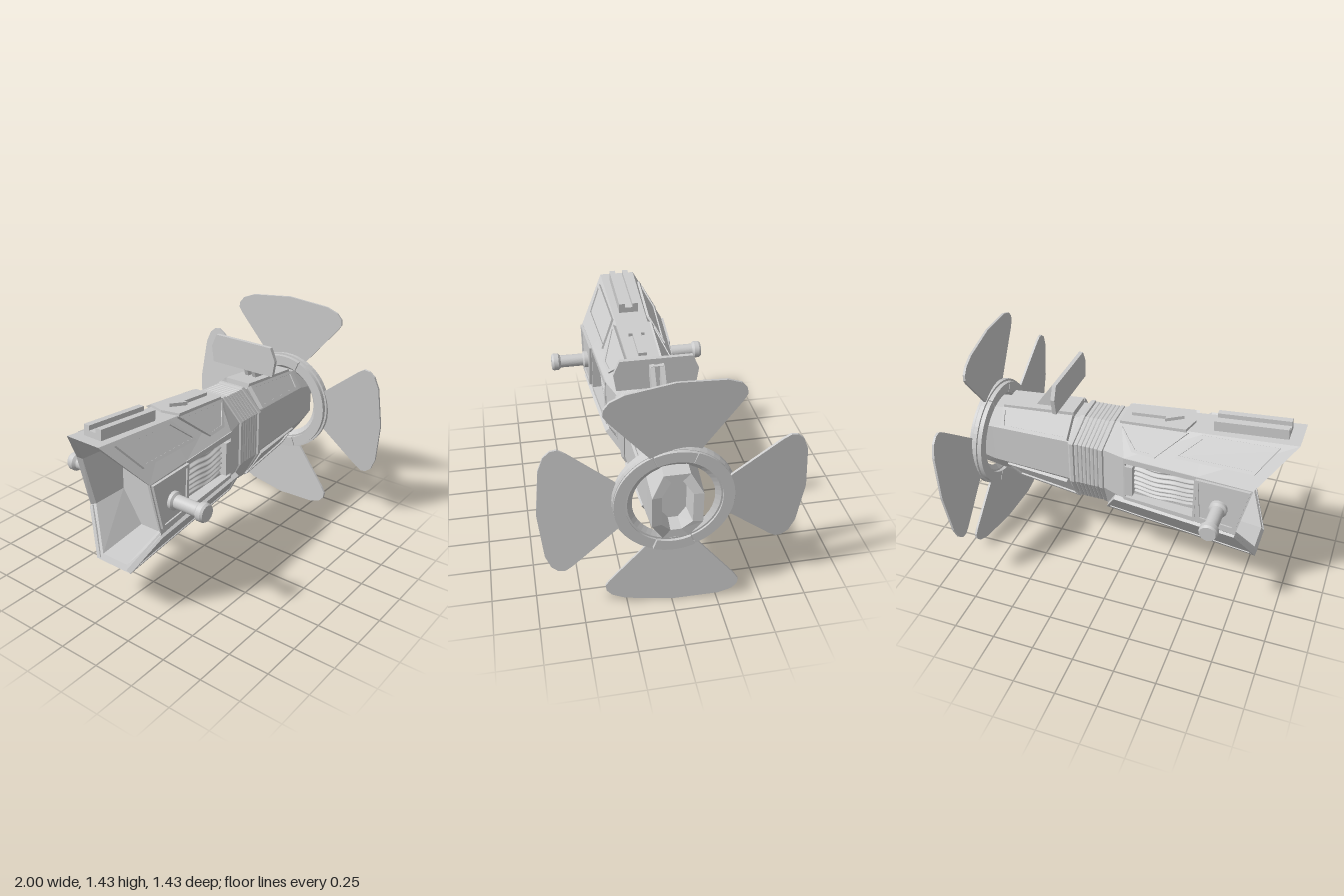
import * as THREE from 'three';

const V = (x, y, z) => new THREE.Vector3(x, y, z);
const grey = new THREE.MeshStandardMaterial({ color: 0xcccccc, flatShading: true });
const greyThin = new THREE.MeshStandardMaterial({ color: 0xcccccc, side: THREE.DoubleSide });
const greySmooth = new THREE.MeshStandardMaterial({ color: 0xcccccc });

function add(parent, name, geo, mat = grey) {
  const m = new THREE.Mesh(geo, mat);
  m.name = name;
  parent.add(m);
}

// Octagonal loft. A station is four corners on the +z half: top, upper side, lower side, bottom.
function loft(stations, skip = () => false) {
  const rings = stations.map(s => [...s, ...[...s].reverse().map(([x, y, z]) => [x, y, -z])]);
  const pos = [];
  const tri = (...p) => p.forEach(q => pos.push(...q));
  for (let s = 0; s < rings.length - 1; s++)
    for (let i = 0; i < 8; i++) {
      if (skip(s, i)) continue;
      const j = (i + 1) % 8, a = rings[s], b = rings[s + 1];
      tri(a[i], a[j], b[i]);
      tri(a[j], b[j], b[i]);
    }
  const first = rings[0], last = rings[rings.length - 1];
  for (let i = 1; i < 7; i++) {
    tri(first[0], first[i + 1], first[i]);
    tri(last[0], last[i], last[i + 1]);
  }
  const g = new THREE.BufferGeometry();
  g.setAttribute('position', new THREE.Float32BufferAttribute(pos, 3));
  g.computeVertexNormals();
  return g;
}

// Outlines are always turned counter-clockwise so that hole walls face inwards
function shapeOf(pts) {
  const v = pts.map(p => new THREE.Vector2(p[0], p[1]));
  return new THREE.Shape(THREE.ShapeUtils.isClockWise(v) ? v.reverse() : v);
}
const extrude = (shape, depth) => new THREE.ExtrudeGeometry(shape, { depth, bevelEnabled: false, curveSegments: 24 });
const lathe = profile => new THREE.LatheGeometry(profile.map(q => new THREE.Vector2(...q)), 48);

// Framed plate lying on a sloped facet, made on both sides of the model.
function facetPanels(parent, name, facet, outline, { height = 0.016, base = 0.007, rim = 0.018, sink = 0.015 } = {}) {
  for (const s of [1, -1]) {
    const [a, b, c] = facet.map(p => V(p[0], p[1], p[2] * s));
    const n = b.clone().sub(a).cross(c.clone().sub(a)).normalize();
    if (n.z * s < 0) n.negate();
    const u = V(1, 0, 0).addScaledVector(n, -n.x).normalize();
    const v = n.clone().cross(u);
    const local = outline.map(([x, y]) => {
      const z = a.z - (n.x * (x - a.x) + n.y * (y - a.y)) / n.z;
      const d = V(x, y, z).sub(a);
      return [d.dot(u), d.dot(v)];
    });
    const cx = local.reduce((t, p) => t + p[0], 0) / local.length;
    const cy = local.reduce((t, p) => t + p[1], 0) / local.length;
    const inner = local.map(([x, y]) => {
      const dx = x - cx, dy = y - cy;
      return [x - Math.sign(dx) * Math.min(rim, Math.abs(dx) / 2), y - Math.sign(dy) * Math.min(rim, Math.abs(dy) / 2)];
    });
    const frame = shapeOf(local);
    frame.holes.push(shapeOf(inner));
    const m = new THREE.Matrix4().makeBasis(u, v, n).setPosition(a);
    const side = s > 0 ? 'Left' : 'Right';
    add(parent, name + 'Frame' + side, extrude(frame, height + sink).translate(0, 0, -sink).applyMatrix4(m));
    add(parent, name + side, extrude(shapeOf(inner), base + sink).translate(0, 0, -sink).applyMatrix4(m));
  }
}

export function createModel() {
  const root = new THREE.Group();
  root.name = 'propellerDevice';

  // Hollow rear body, open at the back and with a vent opening in each side
  const tail = [[-1, 1.14, 0.11], [-0.8, 0.89, 0.265], [-0.72, 0.55, 0.265], [-0.83, 0.3, 0.11]];
  const mid = [[-0.47, 1.09, 0.1], [-0.47, 0.89, 0.245], [-0.47, 0.565, 0.245], [-0.47, 0.35, 0.1]];
  const fore = [[0.03, 1.045, 0.09], [-0.03, 0.89, 0.22], [-0.03, 0.59, 0.22], [0.09, 0.41, 0.1]];
  add(root, 'rearBody', loft([
    [[-0.5, 1.05, 0.08], [-0.5, 0.88, 0.21], [-0.5, 0.58, 0.21], [-0.5, 0.38, 0.08]],
    [[-0.965, 1.1, 0.09], [-0.785, 0.88, 0.235], [-0.705, 0.56, 0.235], [-0.815, 0.335, 0.09]],
    tail, mid, fore,
    [[0.07, 1.035, 0.08], [0.12, 0.88, 0.172], [0.12, 0.6, 0.172], [0.14, 0.415, 0.08]],
  ], (s, i) => s === 3 && (i === 1 || i === 5)));

  const upper = [tail[0], tail[1], fore[0]];
  const side = [tail[1], tail[2], fore[1]];
  const lower = [tail[2], tail[3], fore[3]];
  facetPanels(root, 'rearUpperPanel', upper, [[-0.9, 1.11], [-0.45, 1.08], [-0.33, 0.945], [-0.79, 0.965]]);
  facetPanels(root, 'frontUpperPanel', upper, [[-0.38, 1.075], [0.03, 1.04], [-0.07, 0.92], [-0.21, 0.92]], { height: 0.02, base: 0.014 });
  facetPanels(root, 'sidePanel', side, [[-0.79, 0.885], [-0.47, 0.88], [-0.49, 0.6], [-0.72, 0.59]]);
  facetPanels(root, 'lowerSkirt', lower, [[-0.72, 0.545], [0.03, 0.59], [0.125, 0.405], [-0.83, 0.305]], { base: 0.01, rim: 0.025 });

  // Recessed side vents with a wavy grille, and side pegs
  for (const s of [1, -1]) {
    const tray = shapeOf([[-0.475, 0.892], [-0.03, 0.892], [-0.03, 0.585], [-0.475, 0.563]]);
    tray.holes.push(shapeOf([[-0.462, 0.865], [-0.04, 0.855], [-0.04, 0.61], [-0.462, 0.595]]));
    add(root, 'ventFrame', extrude(tray, 0.08).translate(0, 0, -0.04).rotateY(s * 0.056).translate(0, 0, s * 0.182));
    add(root, 'ventBack', new THREE.BoxGeometry(0.44, 0.3, 0.02).translate(-0.25, 0.735, s * 0.165));

    const grille = new THREE.PlaneGeometry(0.385, 0.2, 24, 48);
    const p = grille.attributes.position;
    for (let i = 0; i < p.count; i++) {
      const x = p.getX(i), y = p.getY(i);
      p.setZ(i, s * (0.205 + 0.008 * Math.cos(y * 190 + Math.sin(x * 30) * 0.8) - 0.5 * x * x - 1.2 * y * y));
    }
    grille.translate(-0.27, 0.73, 0);
    grille.computeVertexNormals();
    add(root, 'ventGrille', grille, greyThin);
    add(root, 'ventEndBar', new THREE.BoxGeometry(0.045, 0.21, 0.06).translate(-0.06, 0.73, s * 0.195));

    const peg = lathe([[0, 0.245], [0.053, 0.245], [0.053, 0.285], [0.04, 0.295], [0.04, 0.44], [0.055, 0.455], [0.055, 0.485], [0.047, 0.498], [0, 0.498]]);
    add(root, 'sidePeg', peg.rotateX(s * Math.PI / 2).translate(-0.615, 0.72, 0));
  }

  // Grooved rail and arrow plate, tilted with the top of the body
  const top = new THREE.Group();
  top.name = 'topFittings';
  top.position.set(-0.72, 1.113, 0);
  top.rotation.z = -0.093;
  root.add(top);
  add(top, 'railBase', new THREE.BoxGeometry(0.42, 0.04, 0.12).translate(0, 0.015, 0));
  for (const z of [-0.042, 0.042])
    add(top, 'railStrip', new THREE.BoxGeometry(0.42, 0.035, 0.036).translate(0, 0.045, z));
  const flat = (pts, h, y) => extrude(shapeOf(pts), h).rotateX(-Math.PI / 2).translate(0, y, 0);
  add(top, 'arrowPlate', flat([[0.33, 0], [0.36, 0.105], [0.76, 0.095], [0.76, -0.095], [0.36, -0.105]], 0.03, -0.015));
  add(top, 'arrow', flat([[0.4, 0], [0.5, 0.05], [0.5, 0.026], [0.71, 0.026], [0.71, -0.026], [0.5, -0.026], [0.5, -0.05]], 0.025, 0.01));

  // Finely ribbed neck between two collars
  const neck = (x, d) => [[x - 0.045, 1.03 - x * 0.03 + d, 0.085], [x, 0.88, 0.173 + d], [x, 0.6, 0.173 + d], [x + 0.01, 0.43 - d, 0.085]];
  const ribs = [neck(0.115, 0), neck(0.12, 0.012), neck(0.14, 0.012), neck(0.145, 0.004)];
  for (let i = 0; i < 6; i++) {
    const x = 0.148 + i * 0.025;
    ribs.push(neck(x, 0.003), neck(x + 0.006, 0.007), neck(x + 0.02, 0.007));
  }
  add(root, 'ribbedNeck', loft([...ribs, neck(0.3, 0.003), neck(0.305, 0.014), neck(0.325, 0.014), neck(0.34, 0)]));

  // Tapered barrel with hollow muzzle
  const b0 = [[0.3, 1.01, 0.08], [0.32, 0.88, 0.168], [0.32, 0.605, 0.168], [0.29, 0.43, 0.08]];
  const b1 = [[0.86, 0.955, 0.07], [0.86, 0.85, 0.138], [0.86, 0.605, 0.138], [0.86, 0.5, 0.07]];
  add(root, 'barrel', loft([
    b0, b1,
    [[0.965, 0.93, 0.07], [1, 0.82, 0.135], [1, 0.635, 0.135], [0.965, 0.52, 0.07]],
    [[0.965, 0.885, 0.03], [0.99, 0.815, 0.083], [0.99, 0.635, 0.083], [0.965, 0.57, 0.03]],
    [[0.88, 0.87, 0.027], [0.88, 0.805, 0.07], [0.88, 0.645, 0.07], [0.88, 0.585, 0.027]],
  ]));
  facetPanels(root, 'barrelUpperPanel', [b0[0], b0[1], b1[0]], [[0.33, 1.012], [0.79, 0.965], [0.78, 0.86], [0.34, 0.885]], { height: 0.03, base: 0.023, sink: 0.02 });
  facetPanels(root, 'barrelLowerPanel', [b0[2], b0[3], b1[3]], [[0.36, 0.585], [0.77, 0.6], [0.72, 0.495], [0.3, 0.44]], { height: 0.022, base: 0.012 });
  add(root, 'barrelTopPlate', new THREE.BoxGeometry(0.46, 0.045, 0.17).rotateZ(-0.1).translate(0.56, 0.993, 0));

  // Sight: two sloping legs carrying a wide plate across the barrel
  const leg = shapeOf([[0.4, 1.25], [0.43, 1.24], [0.6, 1.0], [0.48, 1.0], [0.43, 1.14], [0.4, 1.18]]);
  for (const z of [-0.04, 0.015])
    add(root, 'sightLeg', extrude(leg, 0.025).translate(0, 0, z));
  add(root, 'sightBridge', new THREE.BoxGeometry(0.03, 0.07, 0.07).translate(0.41, 1.21, 0));
  const plate = extrude(shapeOf([[-0.2, 1.28], [0.2, 1.28], [0.235, 1.2], [0.22, 1.1], [-0.22, 1.1], [-0.235, 1.2]]), 0.024);
  add(root, 'sightPlate', plate.rotateY(Math.PI / 2).translate(0.38, 0, 0));

  // Propeller: split ring and four pitched blades
  const prop = new THREE.Group();
  prop.name = 'propeller';
  prop.position.set(0.9, 0.72, 0);
  root.add(prop);
  const ringProfile = [[0.25, -0.03], [0.335, -0.025], [0.335, 0], [0.325, 0.01], [0.25, 0.014], [0.222, -0.005], [0.25, -0.03]];
  add(prop, 'hubRing', lathe(ringProfile).rotateZ(-Math.PI / 2));
  const arc = (centre, half, r0, r1, h) => {
    const s = new THREE.Shape();
    s.absarc(0, 0, r1, centre - half, centre + half, false);
    s.absarc(0, 0, r0, centre + half, centre - half, true);
    return extrude(s, h).rotateY(Math.PI / 2);
  };
  for (let k = 0; k < 4; k++) {
    const half = k % 2 ? 0.36 : Math.PI / 2 - 0.38;
    add(prop, 'ringSegment', arc(k * Math.PI / 2, half, 0.26, 0.322, k % 2 ? 0.03 : 0.025), greySmooth);
    add(prop, 'ringBackSegment', arc(k * Math.PI / 2, half, 0.26, 0.322, 0.035).translate(-0.052, 0, 0), greySmooth);
  }
  const half = [[0.13, 0.29], [0.345, 0.55], [0.37, 0.59], [0.365, 0.625], [0.335, 0.66], [0.26, 0.69], [0, 0.716]];
  const outline = [...half, ...half.slice(0, -1).reverse().map(([x, y]) => [-x, y])];
  for (let k = 0; k < 4; k++) {
    const blade = extrude(shapeOf(outline), 0.014).translate(0, 0, -0.007);
    add(prop, 'blade', blade.rotateY(Math.PI / 2 + 0.1).rotateX(k * Math.PI / 2));
  }
  return root;
}
